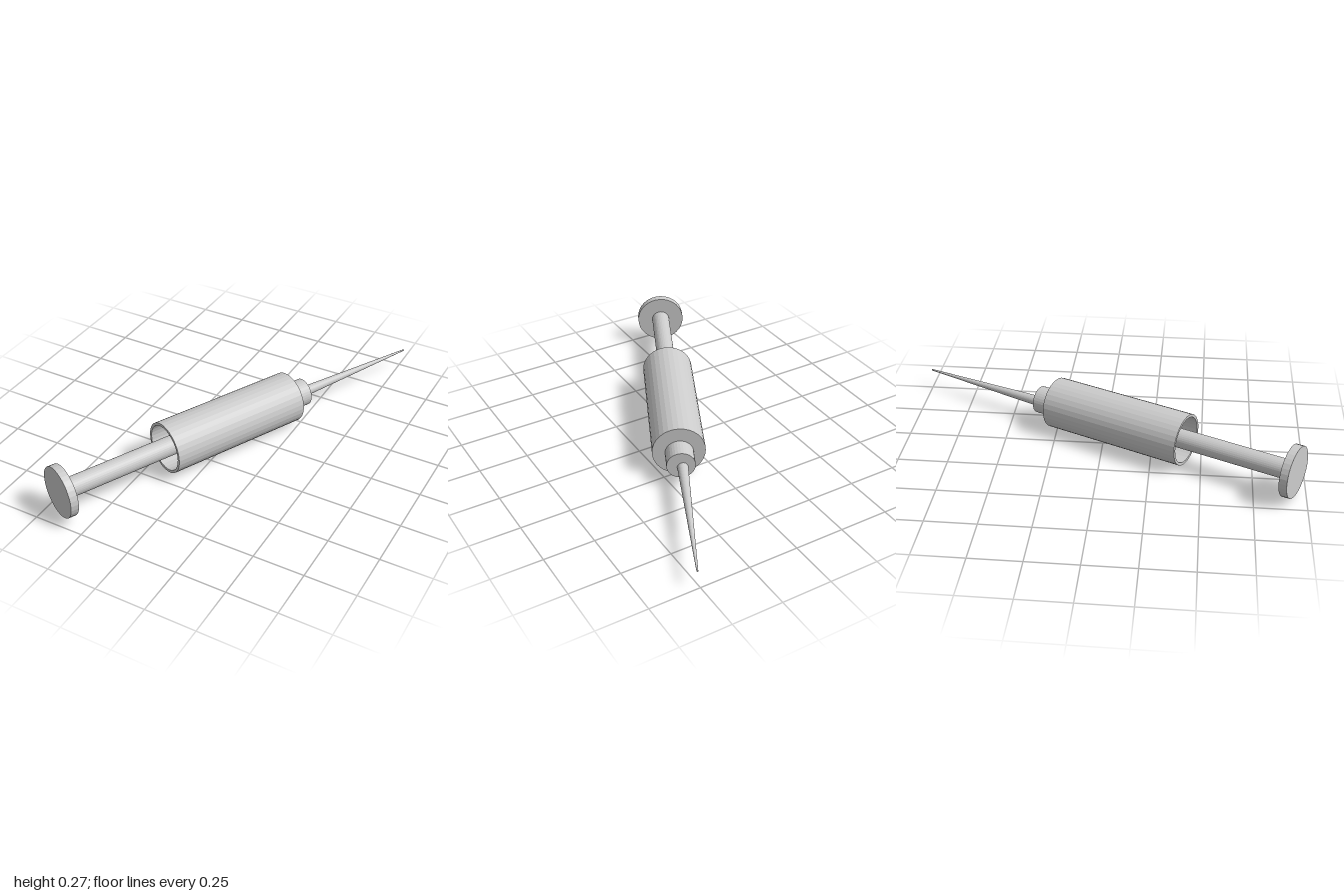
import * as THREE from 'three';

export function createModel() {
  const model = new THREE.Group();
  const syringe = new THREE.Group();
  syringe.name = 'syringe';
  model.add(syringe);

  const grey = new THREE.MeshStandardMaterial({ color: 0xcccccc, flatShading: true });
  const rubber = new THREE.MeshStandardMaterial({ color: 0x111111, flatShading: true });

  // Distances run from the thumb rest (0) forward to the needle tip, along local -z
  const add = (name, geometry, start, material = grey, x = 0, y = 0) => {
    geometry.rotateX(-Math.PI / 2);
    const mesh = new THREE.Mesh(geometry, material);
    mesh.name = name;
    mesh.position.set(x, y, -start);
    syringe.add(mesh);
  };
  const rod = (r0, r1, length) =>
    new THREE.CylinderGeometry(r1, r0, length, 32).translate(0, length / 2, 0);

  // Plunger: thumb rest, rod and piston inside the barrel
  add('thumbRest', rod(0.128, 0.128, 0.04), 0);
  add('plungerRod', rod(0.048, 0.048, 0.74), 0.03);
  add('piston', rod(0.115, 0.115, 0.12), 0.76, rubber);

  // Hollow barrel, open towards the thumb rest and closed at the nozzle
  const profile = [[0, 0.735], [0.116, 0.735], [0.116, 0], [0.13, 0], [0.13, 0.754], [0, 0.754]]
    .map(([r, s]) => new THREE.Vector2(r, s));
  add('barrel', new THREE.LatheGeometry(profile, 32), 0.578);

  // Nozzle and tapered needle, slightly below the barrel axis
  add('nozzle', rod(0.07, 0.07, 0.112), 1.322, grey, -0.002, -0.01);
  add('needle', rod(0.027, 0.004, 0.73), 1.422, grey, -0.01, -0.02);

  // Lay the whole syringe diagonally, tip slightly lowered
  syringe.rotation.set(-0.0115, -THREE.MathUtils.degToRad(25.6), 0, 'YXZ');
  syringe.position.set(-0.405, 0.147, 0.945);
  return model;
}
